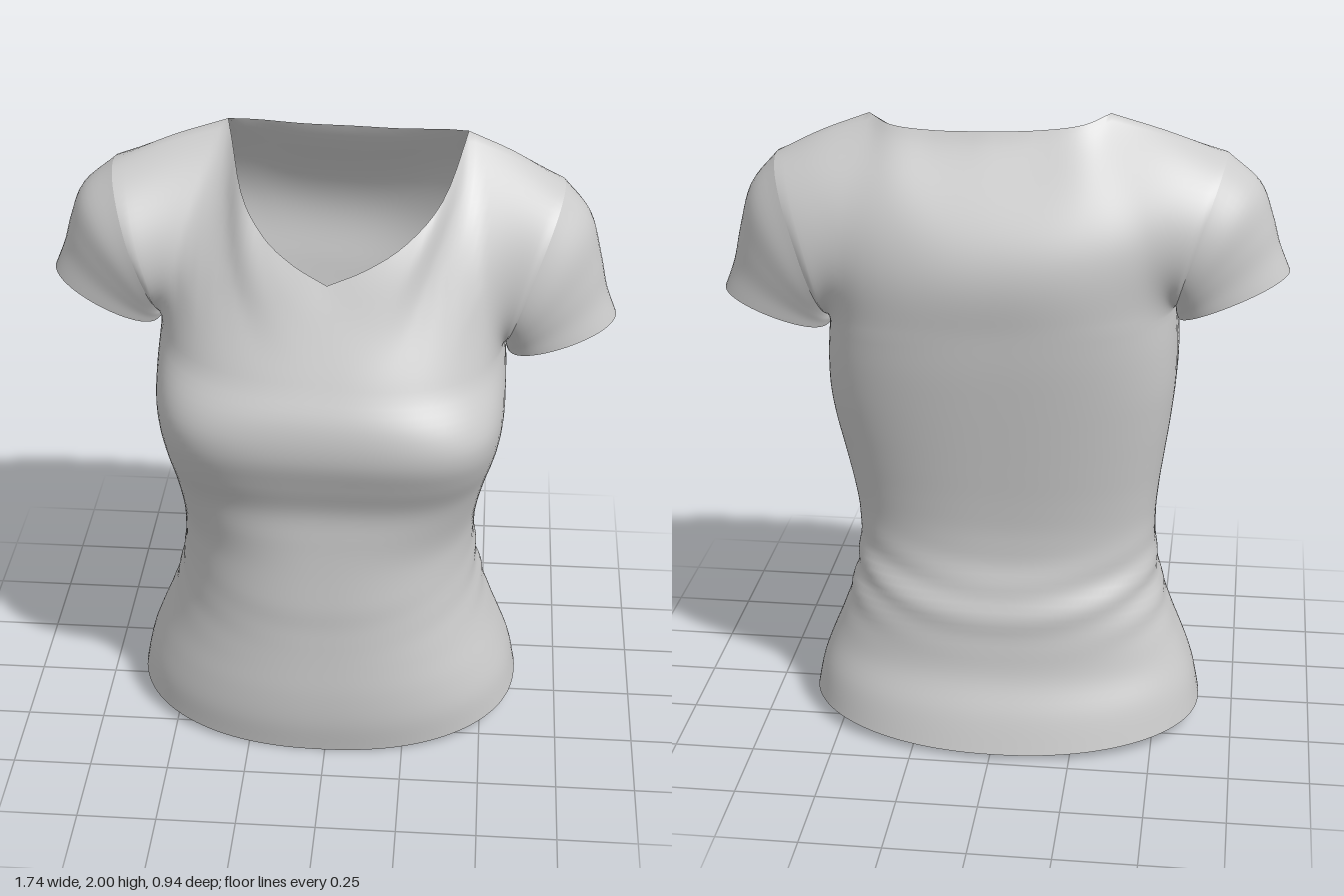
import * as THREE from 'three';
import { mergeGeometries, mergeVertices } from 'three/addons/utils/BufferGeometryUtils.js';

const V = (x, y, z) => new THREE.Vector3(x, y, z);
const curve = (pts) => new THREE.CatmullRomCurve3(pts.map((p) => V(...p)), false, 'catmullrom');
const { lerp, smoothstep } = THREE.MathUtils;

const COLS = 32; // columns per quarter of the body
const LOW = 60; // rows from hem to armpit
const HIGH = 28; // rows from armpit to shoulder
const ARMPIT = 1.38;
const SIDE_Z = -0.075; // depth of the side seam

// Body half width, front depth and back depth at equal height steps, hem to armpit
const body = curve([
  [0.627, 0.37, -0.47], [0.605, 0.39, -0.435], [0.57, 0.395, -0.39], [0.53, 0.39, -0.375],
  [0.495, 0.385, -0.365], [0.475, 0.385, -0.33], [0.472, 0.38, -0.322], [0.485, 0.378, -0.332],
  [0.505, 0.383, -0.348], [0.525, 0.428, -0.365], [0.538, 0.468, -0.382], [0.538, 0.464, -0.398],
  [0.53, 0.415, -0.41],
]);

// Half necklines from the centre to the shoulder, and the shoulder seam
const neckFront = curve([[0, 1.65, 0.285], [0.11, 1.7, 0.262], [0.21, 1.765, 0.215], [0.295, 1.86, 0.12], [0.36, 1.987, -0.12]]);
const neckBack = curve([[0, 1.95, -0.2], [0.15, 1.952, -0.194], [0.28, 1.964, -0.178], [0.36, 1.987, -0.12]]);
const shoulder = curve([[0.36, 1.987, -0.12], [0.52, 1.93, -0.105], [0.68, 1.857, SIDE_Z]]);

// Sleeve: outer point, inner point and depth radius of each ring, armhole to cuff
const sleeveOuter = curve([[0.68, 1.857, 0], [0.77, 1.765, 0], [0.81, 1.65, 0], [0.835, 1.55, 0], [0.868, 1.465, 0]]);
const sleeveInner = curve([[0.53, ARMPIT, 0], [0.53, 1.37, 0], [0.53, 1.362, 0], [0.532, 1.354, 0], [0.535, 1.345, 0]]);
const sleeveDepth = curve([[0.233, 0, 0], [0.22, 0, 0], [0.203, 0, 0], [0.188, 0, 0], [0.18, 0, 0]]);

// Sleeve rings are fullest near the body and narrow toward the outer edge
function sleevePoint(angle, t) {
  const o = sleeveOuter.getPoint(t);
  const i = sleeveInner.getPoint(t);
  const w = (1 + Math.cos(angle)) / 2;
  return V(
    lerp(i.x, o.x, Math.pow(w, 1.5)),
    lerp(i.y, o.y, Math.pow(w, 1.2)),
    SIDE_Z + Math.sin(angle) * sleeveDepth.getPoint(t).x,
  );
}

// Body below the armpits: rounded-square half sections, squarest at the bust
function lowerPoint(u, t, front) {
  const r = body.getPoint(t);
  const s = Math.sin((u * Math.PI) / 2);
  const n = front
    ? 2.4 + 1.4 * smoothstep(t, 0.5, 0.82) - 1.2 * smoothstep(t, 0.85, 1)
    : lerp(2.2, 2.8, t);
  const depth = Math.pow(Math.max(0, 1 - Math.pow(s, n)), 1 / n);
  const p = V(r.x * s, t * ARMPIT, SIDE_Z + ((front ? r.y : r.z) - SIDE_Z) * depth);
  // hem rises toward the sides
  const hem = 0.05 * s * s + (front ? 0 : 0.015 * (1 - s * s));
  p.y += hem * (1 - smoothstep(p.y, 0, 0.4));
  // soft gathered folds around the waist, strongest at the back
  const mask = Math.exp(-(((p.y - 0.5) / 0.11) ** 2)) * lerp(1, 0.1, smoothstep(p.z, -0.25, 0.2));
  const fold = 1 + 0.013 * mask * Math.sin((p.y - 0.6 * p.x * p.x) * 48);
  p.x *= fold;
  p.z *= fold;
  return p;
}

// Upper border of a half panel: neckline, then shoulder seam
function topEdge(u, front) {
  const a = Math.abs(u);
  const p = a <= 0.5 ? (front ? neckFront : neckBack).getPoint(a * 2) : shoulder.getPoint(Math.min(1, a * 2 - 1));
  if (u < 0) p.x *= -1;
  return p;
}

// Body above the armpits: patch between chest, neckline, shoulder and armhole
function upperPoint(u, v, front) {
  // border corners are softened away from the border itself
  const spread = Math.min(0.3 * (1 - v), (1 - u) / 2);
  const top = V(0, 0, 0);
  for (let k = -2; k <= 2; k++) top.addScaledVector(topEdge(u + k * spread / 2, front), 0.2);
  // leave the chest along the slope of the body below
  const base = lowerPoint(u, 1, front);
  const slope = base.clone().sub(lowerPoint(u, 0.99, front)).multiplyScalar((top.y - base.y) / (0.01 * ARMPIT));
  const chord = top.clone().sub(base);
  const p = base.addScaledVector(chord, v).addScaledVector(slope.sub(chord), v * (1 - v) ** 2 * (1 - u * u));
  // meet the armhole
  const edge = sleevePoint(Math.PI * (1 - v) * (front ? 1 : -1), 0);
  const straight = sleevePoint(Math.PI, 0).lerp(sleevePoint(0, 0), v);
  p.addScaledVector(edge.sub(straight), Math.pow(u, 2 + 3 * (1 - v) ** 2));
  // rounded shoulder blades
  if (!front) p.z -= 0.9 * (v * (1 - v)) ** 2 * (1 - u * u);
  return p;
}

// Slight lean of the body: waist to the right, neck to the left, left shoulder lower
function lean(p) {
  const x = p.x;
  p.x += 0.045 * smoothstep(p.y, 1.6, 1.95) * Math.max(0, 1 - (x / 0.8) ** 2);
  p.x -= 0.014 * (1 - smoothstep(p.y, 0.6, 1.1));
  p.y -= 0.062 * x * smoothstep(p.y, 0.9, 1.35) * (1 - 0.6 * smoothstep(p.y, 1.5, 1.85));
  return p;
}

// Grid surface from a point rule
function grid(nu, nv, point) {
  const pos = [];
  const index = [];
  for (let j = 0; j <= nv; j++) {
    for (let i = 0; i <= nu; i++) {
      pos.push(...lean(point(i, j)).toArray());
      if (i < nu && j < nv) {
        const a = j * (nu + 1) + i;
        const b = a + nu + 1;
        index.push(a, a + 1, b + 1, a, b + 1, b);
      }
    }
  }
  const g = new THREE.BufferGeometry();
  g.setAttribute('position', new THREE.Float32BufferAttribute(pos, 3));
  g.setIndex(index);
  return g;
}

// Front or back panel, hem to neckline
function panel(front) {
  return grid(COLS * 2, LOW + HIGH, (i, j) => {
    const u = Math.abs(i - COLS) / COLS;
    const p = j <= LOW ? lowerPoint(u, j / LOW, front) : upperPoint(u, (j - LOW) / HIGH, front);
    p.x *= Math.sign(i - COLS) * (front ? 1 : -1);
    return p;
  });
}

export function createModel() {
  const group = new THREE.Group();
  const material = new THREE.MeshStandardMaterial({ color: 0xcccccc, side: THREE.DoubleSide });

  const add = (name, geometry) => {
    const g = mergeVertices(geometry, 1e-4);
    g.computeVertexNormals();
    const mesh = new THREE.Mesh(g, material);
    mesh.name = name;
    group.add(mesh);
  };

  // Torso with open hem, neck and armholes
  add('torso', mergeGeometries([panel(true), panel(false)]));

  // Short sleeves, starting on the armhole edges
  for (const side of [1, -1]) {
    add(side > 0 ? 'leftSleeve' : 'rightSleeve', grid(HIGH * 2, 20, (i, j) => {
      const p = sleevePoint((side * i * Math.PI) / HIGH, j / 20);
      p.x *= side;
      return p;
    }));
  }
  return group;
}
